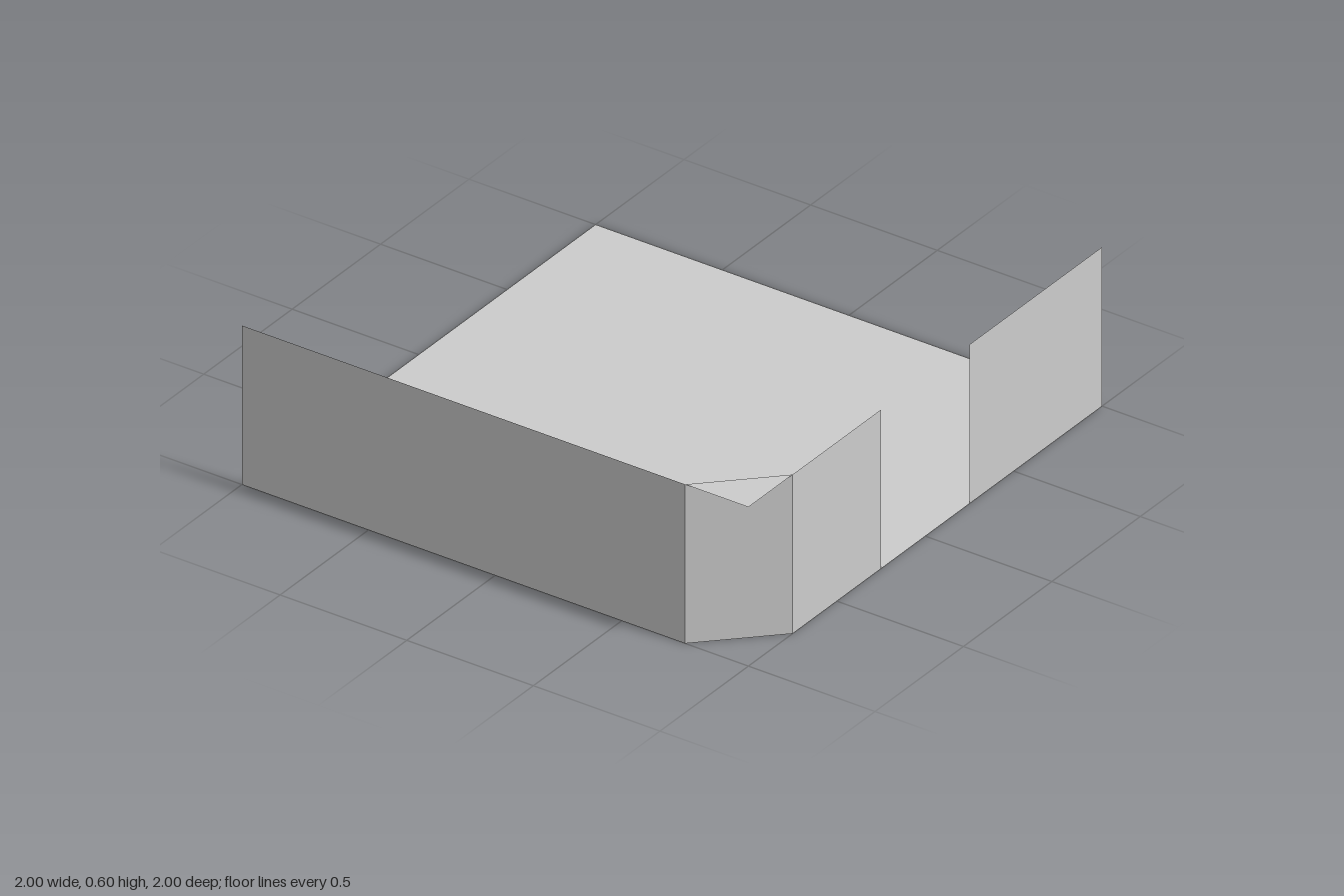
import * as THREE from 'three';

const HEIGHT = 0.6;
const material = new THREE.MeshStandardMaterial({ color: 0xcccccc, side: THREE.DoubleSide, flatShading: true });

// Thin upright wall standing on the line from (x1, z1) to (x2, z2)
function wall(name, x1, z1, x2, z2) {
  const mesh = new THREE.Mesh(new THREE.PlaneGeometry(Math.hypot(x2 - x1, z2 - z1), HEIGHT), material);
  mesh.position.set((x1 + x2) / 2, HEIGHT / 2, (z1 + z2) / 2);
  mesh.rotation.y = Math.atan2(z1 - z2, x2 - x1);
  mesh.name = name;
  return mesh;
}

// Flat sheet facing up, outlined by [x, z] points
function sheet(name, y, points) {
  const shape = new THREE.Shape(points.map(([x, z]) => new THREE.Vector2(x, -z)));
  const mesh = new THREE.Mesh(new THREE.ShapeGeometry(shape).rotateX(-Math.PI / 2), material);
  mesh.position.y = y;
  mesh.name = name;
  return mesh;
}

export function createModel() {
  const model = new THREE.Group();
  model.name = 'roomCorner';
  model.add(
    // Floor with one corner cut off
    sheet('floor', 0, [[-1, 1], [0.75, 1], [1, 0.75], [1, -1], [-1, -1]]),
    // Small shelf over the cut corner, level with the wall tops
    sheet('cornerShelf', HEIGHT, [[0.75, 1], [1, 1], [1, 0.75]]),
    // Walls, with a doorway gap on the left side
    wall('frontWall', -1, 1, 0.75, 1),
    wall('cornerWall', 0.75, 1, 1, 0.75),
    wall('sideWallFront', 1, 0.75, 1, 0.25),
    wall('sideWallBack', 1, -0.25, 1, -1),
  );
  return model;
}
